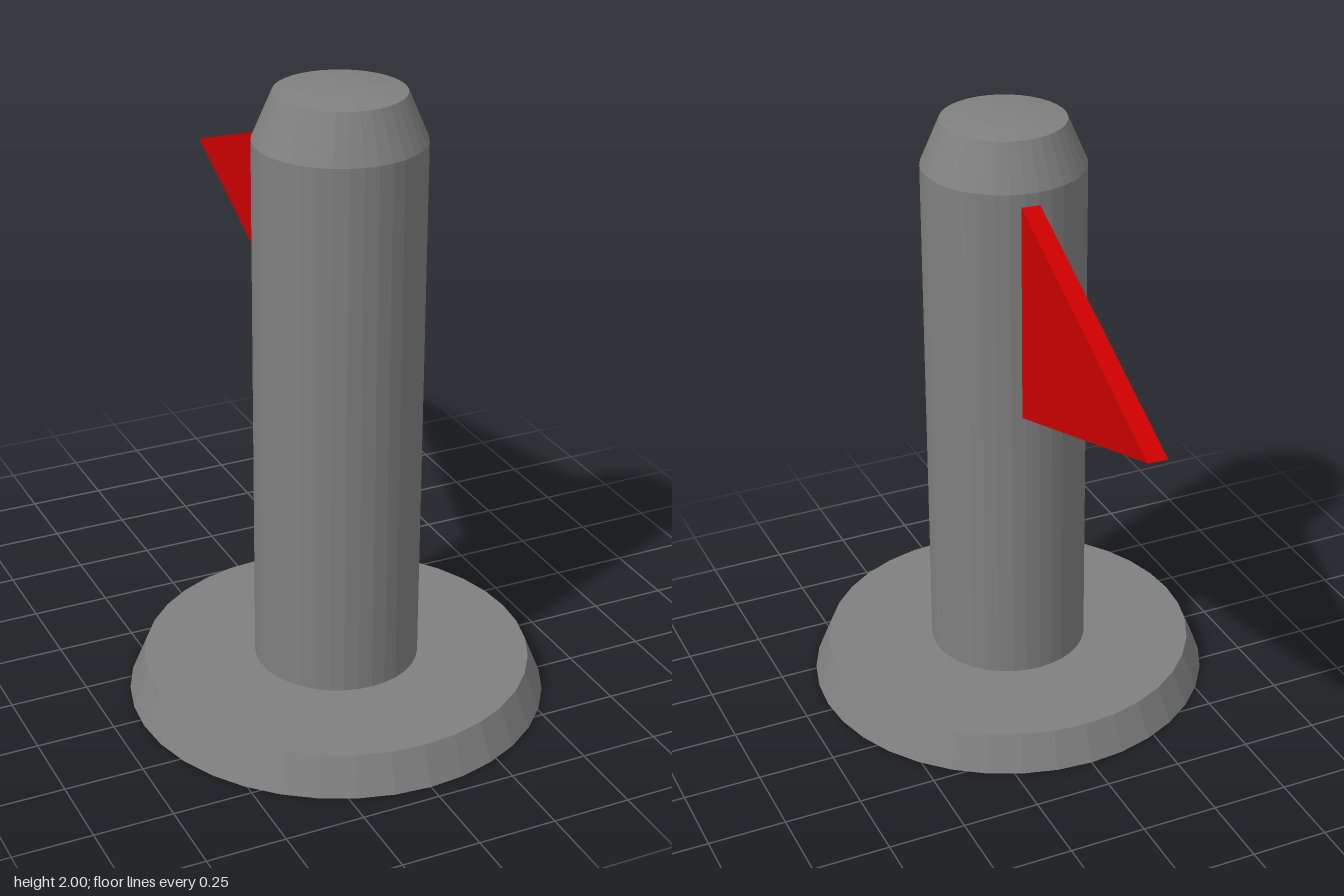
import * as THREE from 'three';

const SIDES = 36;

// Solid of revolution with hard facets, from [radius, y] pairs running bottom to top
function turned(name, profile, material) {
  const points = profile.map(([r, y]) => new THREE.Vector2(r, y));
  const mesh = new THREE.Mesh(new THREE.LatheGeometry(points, SIDES), material);
  mesh.name = name;
  return mesh;
}

export function createModel() {
  const group = new THREE.Group();
  group.name = 'flagPost';
  const grey = new THREE.MeshStandardMaterial({ color: 0x808080, flatShading: true });
  const red = new THREE.MeshStandardMaterial({ color: 0xcc0000, flatShading: true });

  // Round stand and post share one upright axis
  const stand = new THREE.Group();
  stand.name = 'stand';
  stand.position.z = 0.286;
  stand.add(
    turned('base', [[0, 0], [0.662, 0], [0.613, 0.12], [0, 0.12]], grey),
    // Straight post, chamfered shoulder and shallow domed cap
    turned('post', [[0.26, 0.12], [0.26, 1.837], [0.198, 1.983], [0.1, 1.995], [0, 2]], grey),
  );
  group.add(stand);

  // Triangular pennant trailing backwards, turned slightly to the left
  const thickness = 0.06;
  const pennant = new THREE.Shape([
    new THREE.Vector2(0, -0.358),
    new THREE.Vector2(0.98, 0),
    new THREE.Vector2(0, 0.358),
  ]);
  const geometry = new THREE.ExtrudeGeometry(pennant, { depth: thickness, bevelEnabled: false });
  geometry.translate(0, 0, -thickness / 2);
  const flag = new THREE.Mesh(geometry, red);
  flag.name = 'flag';
  flag.position.set(0.026, 1.438, 0.03);
  flag.rotation.y = 1.503;
  group.add(flag);

  return group;
}
